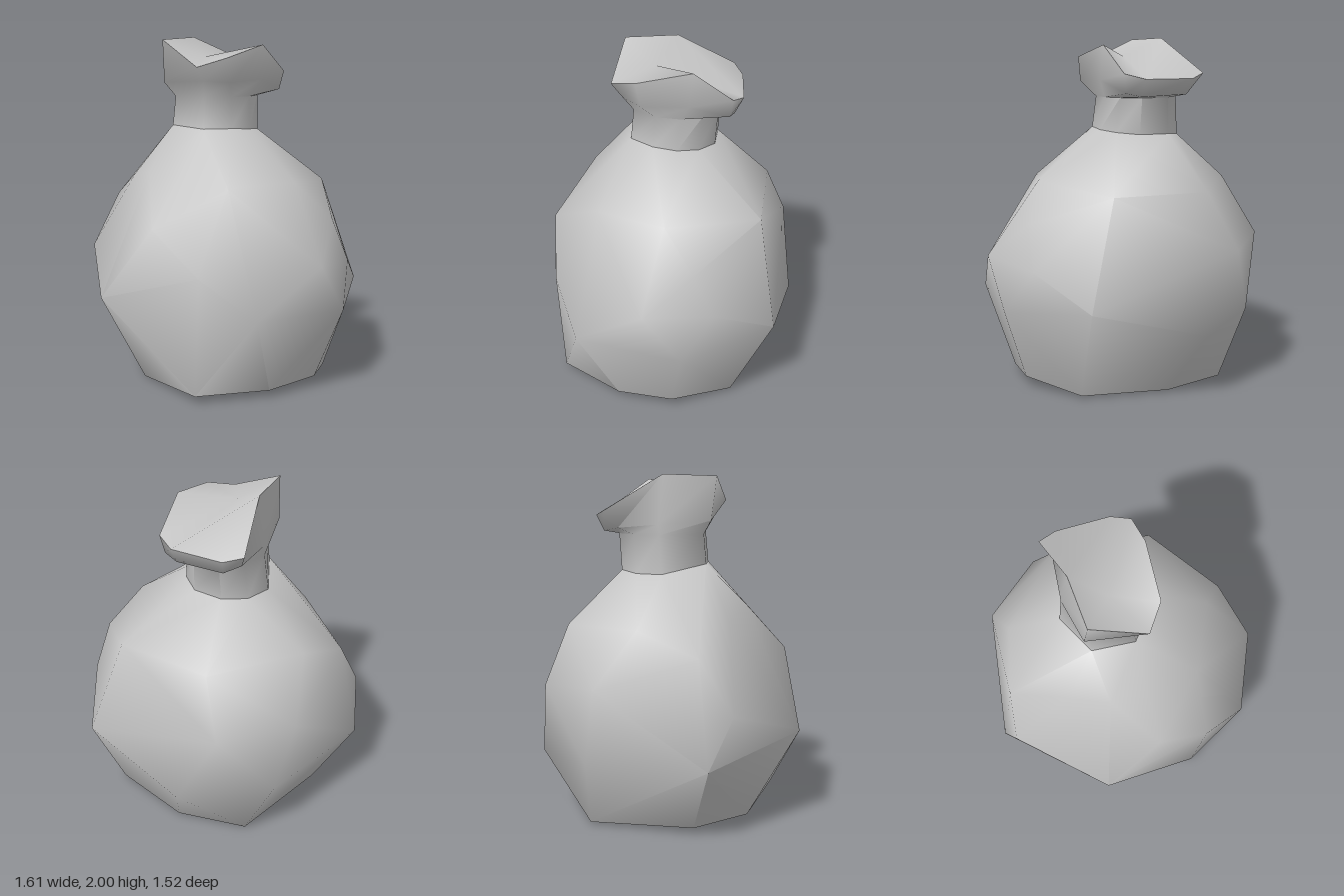
import * as THREE from 'three';
import { toCreasedNormals } from 'three/addons/utils/BufferGeometryUtils.js';
import { ConvexGeometry } from 'three/addons/geometries/ConvexGeometry.js';

const V = (p) => new THREE.Vector3(...p);

// Outlines run counter-clockwise seen from above, starting at the front.
const neckBase = [
  [0.04, 1.48, 0.20], [0.13, 1.48, 0.06], [0.14, 1.47, -0.08],
  [0.09, 1.46, -0.20], [-0.02, 1.45, -0.28], [-0.20, 1.45, -0.28],
  [-0.31, 1.44, -0.18], [-0.35, 1.44, -0.03], [-0.21, 1.49, 0.21],
];
const flare = [
  [0.08, 1.76, 0.24], [0.18, 1.75, 0.12], [0.17, 1.76, -0.15],
  [0.11, 1.69, -0.37], [0.02, 1.67, -0.39], [-0.27, 1.68, -0.37],
  [-0.33, 1.70, -0.28], [-0.33, 1.72, -0.05], [-0.25, 1.74, 0.24],
];
const rim = [
  [0.09, 1.84, 0.30], [0.18, 1.89, 0.15], [0.16, 1.96, -0.17],
  [0.13, 1.80, -0.39], [0.02, 1.77, -0.44], [-0.29, 1.77, -0.41],
  [-0.39, 1.80, -0.35], [-0.28, 2.00, -0.03], [-0.23, 1.99, 0.27],
];
const mouthDip = [-0.08, 1.89, 0.07];

// Bulging sack, as the hull of a few uneven layers
const floor = [
  [0.36, 0.04, 0.58], [0.58, 0.04, 0.21], [0.63, 0.06, -0.12],
  [0.42, 0.01, -0.45], [-0.07, 0.01, -0.55], [-0.47, 0.01, -0.43],
  [-0.59, 0.04, 0.18], [-0.20, 0.00, 0.46],
];
const belly = [
  [-0.23, 0.53, 0.76], [0.41, 0.72, 0.60], [0.69, 0.50, 0.43],
  [0.80, 0.76, 0.03], [0.78, 0.47, -0.19], [0.67, 0.72, -0.36],
  [0.46, 0.53, -0.69], [-0.21, 0.36, -0.76], [-0.44, 0.81, -0.69],
  [-0.66, 0.40, -0.42], [-0.75, 0.85, -0.36], [-0.81, 0.43, 0.28],
  [-0.73, 0.72, 0.41],
];
const shoulder = [
  [0.10, 0.96, 0.66], [-0.15, 1.24, 0.45], [0.38, 1.18, 0.34],
  [0.52, 1.19, -0.06], [0.65, 0.97, -0.24], [0.28, 1.14, -0.58],
  [-0.30, 1.14, -0.58], [-0.65, 1.17, -0.13], [-0.71, 1.03, 0.22],
  [-0.38, 1.20, 0.36],
];

// Skin stacked outlines with quads
function loft(rings) {
  const out = [];
  for (let r = 0; r < rings.length - 1; r++) {
    const a = rings[r], b = rings[r + 1], n = a.length;
    for (let i = 0; i < n; i++) {
      const j = (i + 1) % n;
      out.push(a[i], a[j], b[j], a[i], b[j], b[i]);
    }
  }
  return out;
}

// Fan of triangles from one point to a run of points
function fan(hub, run) {
  const out = [];
  for (let i = 0; i < run.length - 1; i++) out.push(hub, run[i], run[i + 1]);
  return out;
}

function mesh(name, geometry, material, crease) {
  const m = new THREE.Mesh(toCreasedNormals(geometry, crease), material);
  m.name = name;
  return m;
}

const fromPoints = (points) => new THREE.BufferGeometry().setFromPoints(points.map(V));

export function createModel() {
  const group = new THREE.Group();
  group.name = 'tiedSack';
  const cloth = new THREE.MeshStandardMaterial({ color: 0xc4c4c4 });
  cloth.name = 'greyCloth';

  // Body
  const hull = new ConvexGeometry([...floor, ...belly, ...shoulder, ...neckBase].map(V));
  group.add(mesh('sackBody', hull, cloth, 0.95));

  // Pinched neck opening into the gathered mouth
  const pinch = neckBase.map(([x, , z]) => [-0.1 + (x + 0.1) * 0.92, 1.66, z - 0.015]);
  group.add(mesh('neck', fromPoints(loft([neckBase, pinch, flare, rim])), cloth, 1.3));

  // Folded cloth closing the mouth: a dipped front and a flap sloping down at the back
  const [a, b, c, d, e, f, g, h, i] = rim;
  const fold = [...fan(mouthDip, [h, i, a, b, c, d, e, h]), ...fan(h, [e, f, g])];
  // Wind every face upwards
  group.add(mesh('mouthFold', fromPoints(fold.map((p, k) => fold[k - (k % 3) + [0, 1, 2][k % 3]])), cloth, 1.3));
  return group;
}
